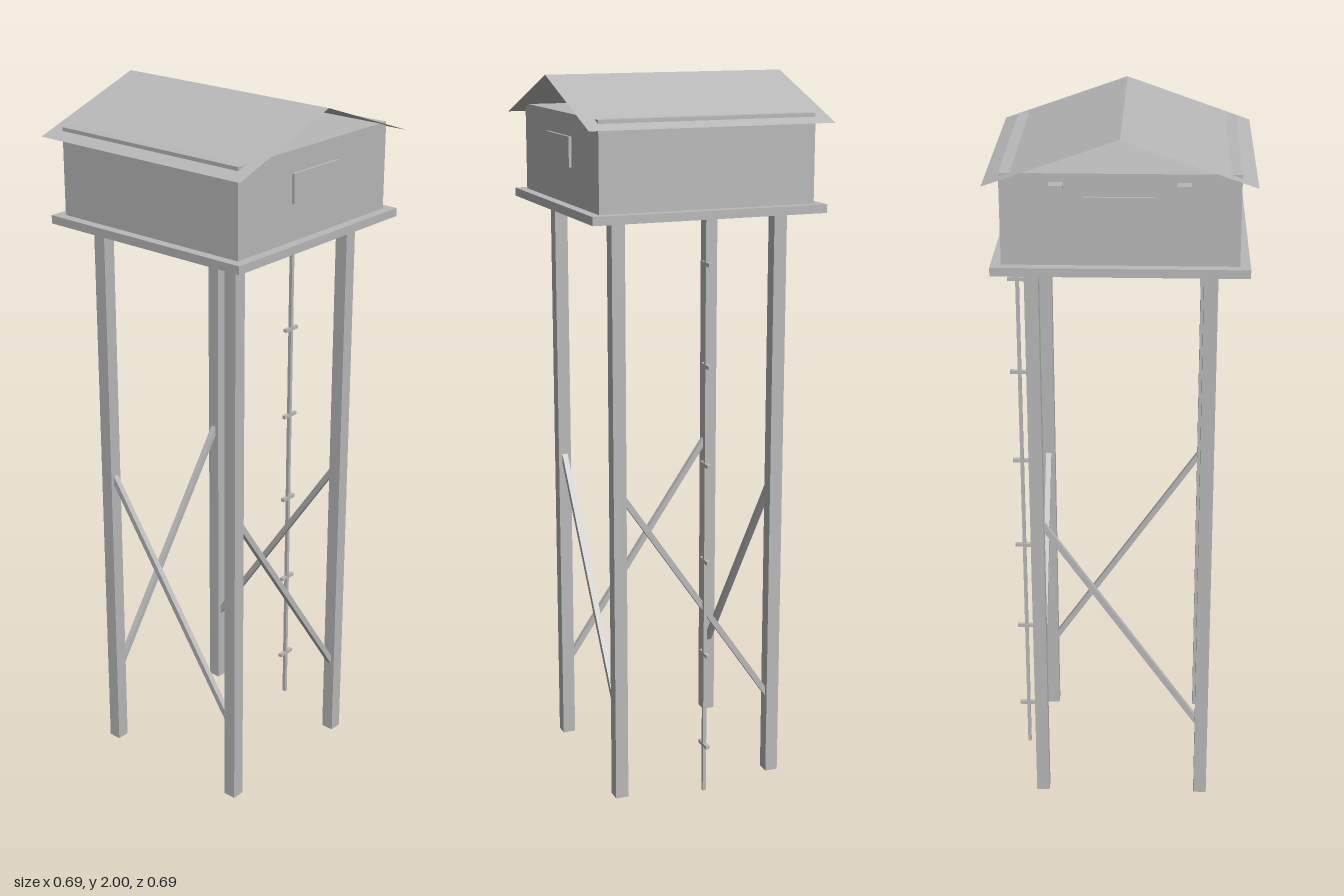
import * as THREE from 'three';

export function createModel() {
  const tower = new THREE.Group();
  tower.name = 'watchtower';
  const grey = new THREE.MeshStandardMaterial({ color: 0xb8b8b8, side: THREE.DoubleSide });
  grey.name = 'plain grey';

  const box = (name, w, h, d, x, y, z) => {
    const mesh = new THREE.Mesh(new THREE.BoxGeometry(w, h, d), grey);
    mesh.name = name;
    mesh.position.set(x, y, z);
    tower.add(mesh);
    return mesh;
  };

  const legOffset = 0.233, deckBottom = 1.642;

  // Four square legs
  for (const x of [-1, 1]) {
    for (const z of [-1, 1]) {
      box('leg', 0.037, deckBottom, 0.037, x * legOffset, deckBottom / 2, z * legOffset);
    }
  }

  // One diagonal brace per side, each turned a quarter from the last
  const braceSlope = Math.atan2(0.635, 0.434);
  for (let i = 0; i < 4; i++) {
    const side = new THREE.Group();
    side.name = 'braceSide';
    side.rotation.y = i * Math.PI / 2;
    const brace = box('brace', 0.79, 0.016, 0.016, 0, 0.5625, legOffset);
    brace.rotation.z = -braceSlope;
    side.add(brace);
    tower.add(side);
  }

  // Deck and cabin
  box('deck', 0.662, 0.023, 0.662, 0, 1.6535, 0);
  box('cabinWalls', 0.608, 0.239, 0.608, 0, 1.7845, 0);

  // Window panels on front and back
  for (const z of [-1, 1]) {
    box('window', 0.188, 0.08, 0.009, 0, 1.805, z * 0.3075);
  }

  // Small lamps under the back gable
  for (const x of [-1, 1]) {
    box('lamp', 0.036, 0.016, 0.034, x * 0.16, 1.874, -0.321);
  }

  // Thin gabled roof, folded along its ridge
  let roofShape = new THREE.PlaneGeometry(0.688, 0.686, 2, 1).rotateX(-Math.PI / 2);
  const p = roofShape.attributes.position;
  for (let i = 0; i < p.count; i++) {
    p.setY(i, Math.abs(p.getX(i)) < 0.01 ? 2 : 1.88);
  }
  roofShape = roofShape.toNonIndexed();
  roofShape.computeVertexNormals();
  const roof = new THREE.Mesh(roofShape, grey);
  roof.name = 'roof';
  tower.add(roof);

  // Single-pole ladder with short rungs
  box('ladderPole', 0.01, deckBottom, 0.01, 0.293, deckBottom / 2, 0);
  for (let i = 0; i < 6; i++) {
    box('ladderRung', 0.053, 0.01, 0.011, 0.293, 0.142 + i * 0.2755, 0);
  }

  return tower;
}
